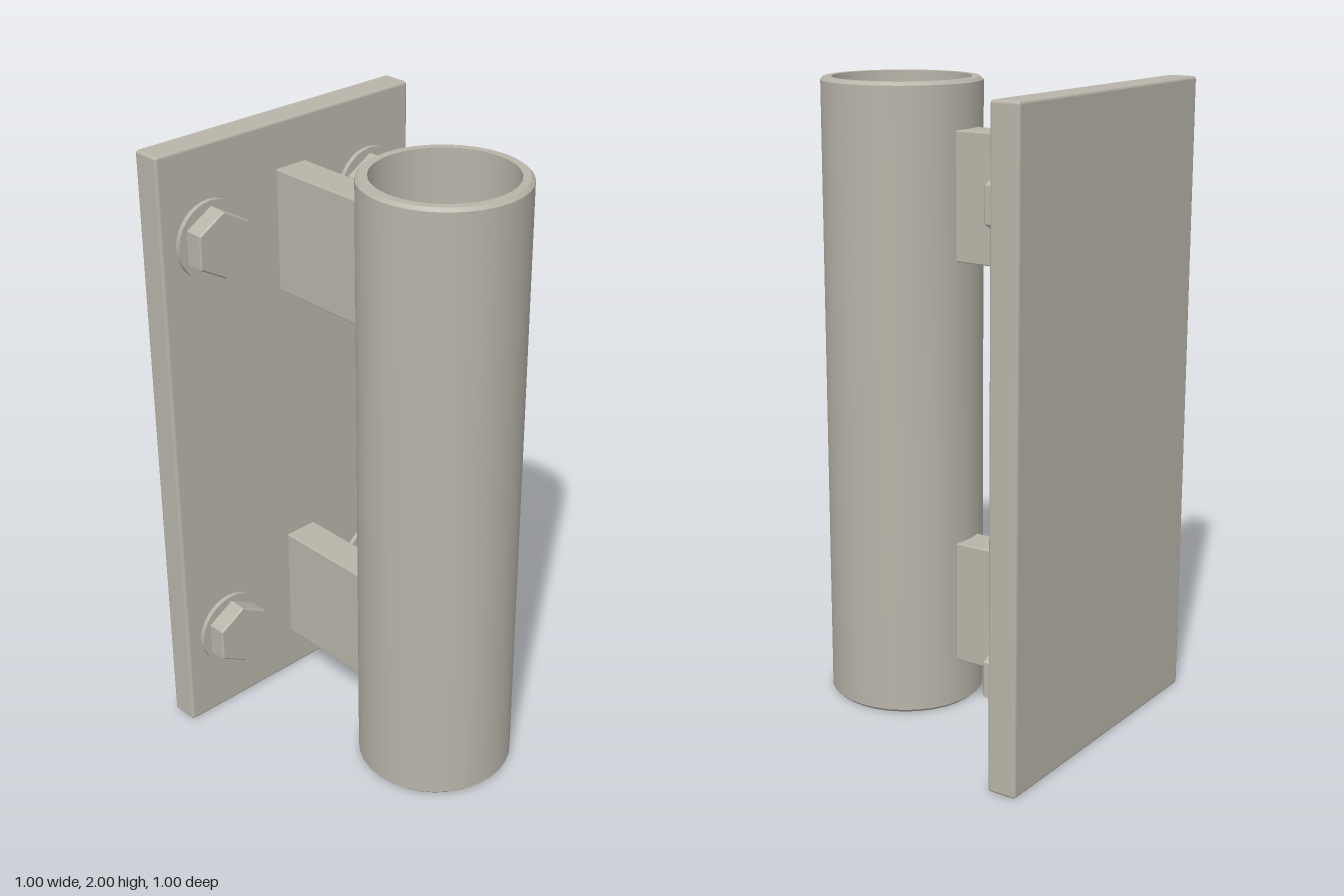
import * as THREE from 'three';
import { toCreasedNormals } from 'three/addons/utils/BufferGeometryUtils.js';
import { RoundedBoxGeometry } from 'three/addons/geometries/RoundedBoxGeometry.js';

const steel = new THREE.MeshStandardMaterial({ color: 0xb8b4a9 });
steel.name = 'warm grey steel';

// Turned part from [radius, height] pairs, with sharp edges kept
function turned(profile, sides) {
  const points = profile.map(([r, y]) => new THREE.Vector2(r, y));
  return toCreasedNormals(new THREE.LatheGeometry(points, sides), 0.5);
}

function add(parent, name, geometry, x, y, z) {
  const mesh = new THREE.Mesh(geometry, steel);
  mesh.name = name;
  mesh.position.set(x, y, z);
  parent.add(mesh);
  return mesh;
}

export function createModel() {
  const group = new THREE.Group();
  group.name = 'tubeBracket';

  // Back plate with softened edges
  add(group, 'backPlate', new RoundedBoxGeometry(0.996, 2, 0.095, 2, 0.01), 0, 1, -0.4525);

  // Open tube with chamfered rims
  const R = 0.25, r = 0.215, c = 0.01;
  add(group, 'tube', turned([
    [R - c, 0], [R, c], [R, 2 - c], [R - c, 2],
    [r, 2], [r, 0], [R - c, 0],
  ], 32), 0, 1 - 1, 0.249);

  // Stand-off blocks between plate and tube
  for (const [name, y] of [['lowerBlock', 0.355], ['upperBlock', 1.655]]) {
    add(group, name, new RoundedBoxGeometry(0.117, 0.398, 0.425, 2, 0.005), 0, y, -0.1895);
  }

  // Hex bolts with washers at the plate corners
  const washer = turned([[0, 0], [0.124, 0], [0.124, 0.016], [0, 0.016]], 32);
  const head = turned([[0, 0.01], [0.107, 0.01], [0.107, 0.071], [0.102, 0.076], [0, 0.076]], 6);
  for (const x of [-0.32, 0.32]) {
    for (const y of [0.305, 1.705]) {
      const bolt = new THREE.Group();
      bolt.name = 'bolt';
      bolt.position.set(x, y, -0.406);
      bolt.rotation.x = Math.PI / 2;
      add(bolt, 'washer', washer, 0, 0, 0);
      add(bolt, 'hexHead', head, 0, 0, 0);
      group.add(bolt);
    }
  }
  return group;
}
